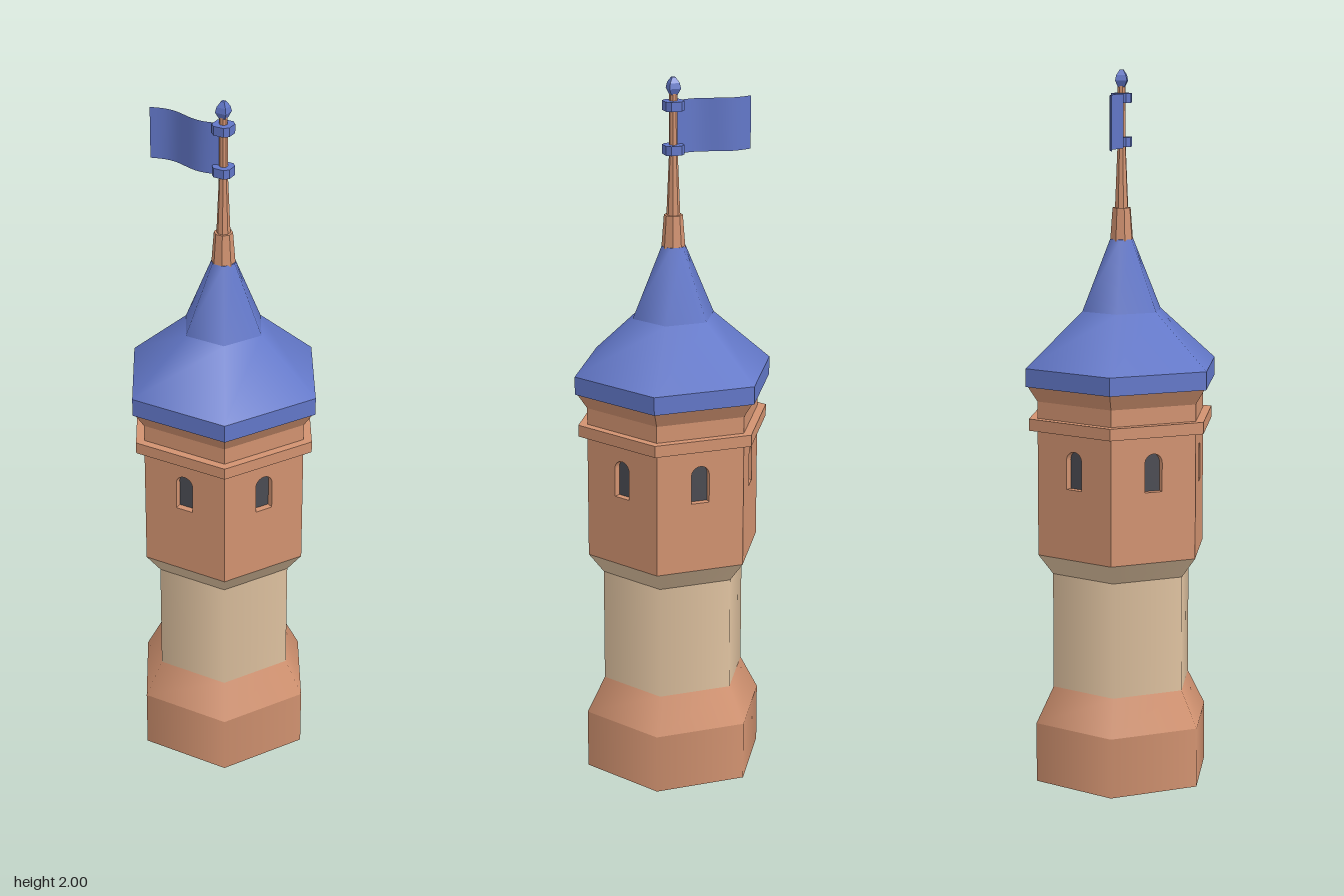
import * as THREE from 'three';

const mat = (name, color, side = THREE.FrontSide) => {
  const m = new THREE.MeshStandardMaterial({ color, side });
  m.name = name;
  return m;
};

export function createModel() {
  const tower = new THREE.Group();
  tower.name = 'tower';
  const brick = mat('brick', 0xd19270);
  const stone = mat('stone', 0xdfc2a0);
  const blue = mat('blue', 0x6277c8, THREE.DoubleSide);
  const dark = mat('darkGlass', 0x4a4b52);

  const add = (name, geometry, material, parent = tower) => {
    const mesh = new THREE.Mesh(geometry, material);
    mesh.name = name;
    parent.add(mesh);
    return mesh;
  };
  const facet = (geometry) => {
    const g = geometry.toNonIndexed();
    g.computeVertexNormals();
    return g;
  };
  // Frustum between two heights; six sides put corners on the x axis
  const tier = (name, y0, r0, y1, r1, material, { sides = 6, flat = false, open = false } = {}) => {
    const g = new THREE.CylinderGeometry(r1, r0, y1 - y0, sides, 1, open, Math.PI / sides);
    g.translate(0, (y0 + y1) / 2, 0);
    return add(name, flat ? facet(g) : g, material);
  };

  // Foot and shaft
  tier('base', 0, 0.263, 0.17, 0.263, brick);
  tier('baseTaper', 0.17, 0.263, 0.272, 0.21, brick);
  tier('shaft', 0.27, 0.21, 0.6, 0.21, stone);
  tier('corbel', 0.6, 0.21, 0.658, 0.254, stone);

  // Upper room: six panels with arched openings and recessed panes
  const R = 0.254, APOTHEM = R * Math.cos(Math.PI / 6), DEPTH = 0.02;
  const y0 = 0.658, y1 = 1.095, w = 0.026, sill = 0.857, spring = 0.938;
  const arch = (path) => {
    path.moveTo(-w, sill);
    path.lineTo(w, sill);
    path.lineTo(w, spring);
    path.absarc(0, spring, w, 0, Math.PI, false);
    path.lineTo(-w, sill);
    return path;
  };
  const panel = new THREE.Shape();
  panel.moveTo(-R / 2, y0);
  panel.lineTo(R / 2, y0);
  panel.lineTo(R / 2, y1);
  panel.lineTo(-R / 2, y1);
  panel.closePath();
  panel.holes.push(arch(new THREE.Path()));
  const panelGeo = new THREE.ExtrudeGeometry(panel, { depth: DEPTH, bevelEnabled: false, curveSegments: 8 });
  panelGeo.translate(0, 0, APOTHEM - DEPTH);
  const paneGeo = new THREE.ShapeGeometry(arch(new THREE.Shape()), 8);
  paneGeo.translate(0, 0, APOTHEM - DEPTH + 0.001);
  for (let i = 0; i < 6; i++) {
    const side = new THREE.Group();
    side.name = 'wallSide' + (i + 1);
    side.rotation.y = i * Math.PI / 3;
    add('wall', panelGeo, brick, side);
    add('windowPane', paneGeo, dark, side);
    tower.add(side);
  }
  tier('stringCourse', 1.013, 0.28, 1.046, 0.28, brick, { flat: true });
  tier('cornice', 1.093, 0.254, 1.137, 0.283, brick, { flat: true });

  // Roof with a straight eave and two slopes
  tier('eave', 1.136, 0.289, 1.187, 0.289, blue, { flat: true });
  tier('lowerRoof', 1.187, 0.289, 1.337, 0.119, blue, { open: true });
  tier('upperRoof', 1.337, 0.119, 1.535, 0.035, blue);

  // Flagpole
  const round = { sides: 8, flat: true };
  tier('poleSocket', 1.53, 0.033, 1.622, 0.026, brick, round);
  tier('poleTaper', 1.622, 0.019, 1.79, 0.012, brick, round);
  tier('pole', 1.79, 0.012, 1.965, 0.011, brick, round);

  // Collars: squares with cut corners
  const a = 0.027, c = 0.015;
  const collar = new THREE.Shape([[a, -c], [a, c], [c, a], [-c, a], [-a, c], [-a, -c], [-c, -a], [c, -a]]
    .map(([x, y]) => new THREE.Vector2(x, y)));
  for (const y of [1.79, 1.91]) {
    const g = new THREE.ExtrudeGeometry(collar, { depth: 0.026, bevelEnabled: false });
    g.rotateX(-Math.PI / 2);
    g.translate(0, y, 0);
    add('collar', g, blue);
  }

  // Four-sided finial
  const square = { sides: 4, flat: true };
  tier('finialBottom', 1.953, 0.013, 1.97, 0.023, blue, square);
  tier('finialMiddle', 1.97, 0.023, 1.985, 0.019, blue, square);
  tier('finialTip', 1.985, 0.019, 2.0, 0.007, blue, square);

  // Waving flag
  const flag = new THREE.PlaneGeometry(0.215, 0.147, 16, 1);
  flag.translate(-0.1175, 1.8625, 0);
  const p = flag.attributes.position;
  for (let i = 0; i < p.count; i++) {
    const t = (-0.01 - p.getX(i)) / 0.215;
    p.setZ(i, 0.012 * Math.sin(t * Math.PI * 2));
  }
  flag.computeVertexNormals();
  add('flag', flag, blue);

  return tower;
}
